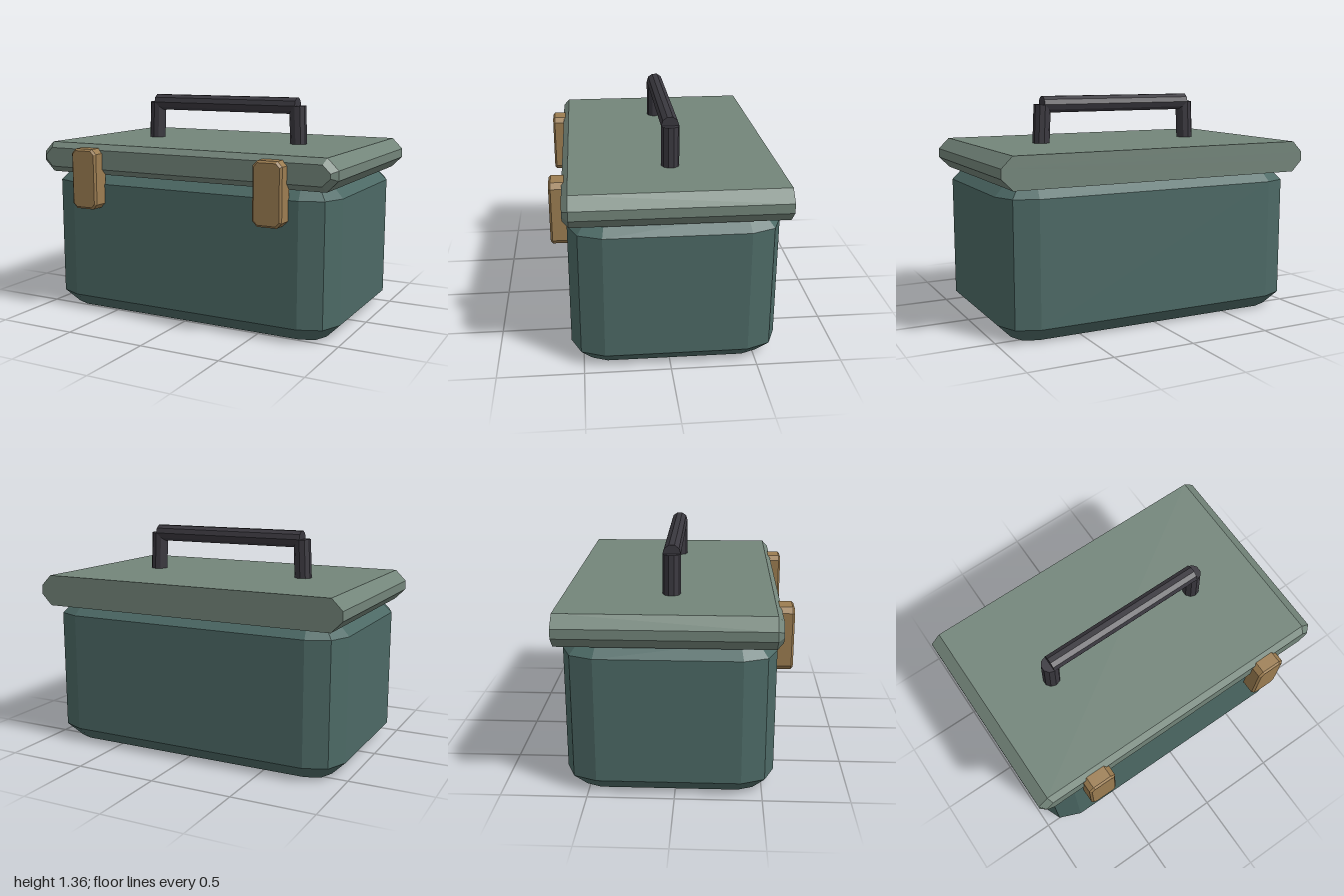
import * as THREE from 'three';

const material = (name, color) => {
  const m = new THREE.MeshStandardMaterial({ color, flatShading: true });
  m.name = name;
  return m;
};

// Counter-clockwise rectangle whose corners are cut into `segs` facets
function corneredRect(halfW, halfH, r, segs) {
  const pts = [];
  [[1, 1], [-1, 1], [-1, -1], [1, -1]].forEach(([sx, sy], q) => {
    for (let i = 0; i <= segs; i++) {
      const a = (q + i / segs) * Math.PI / 2;
      pts.push(new THREE.Vector2(
        sx * (halfW - r) + r * Math.cos(a),
        sy * (halfH - r) + r * Math.sin(a)));
    }
  });
  return pts;
}

// Moves every edge of a convex outline inwards by d
function inset(pts, d) {
  const n = pts.length;
  const normal = (a, b) => new THREE.Vector2(b.y - a.y, a.x - b.x).normalize();
  return pts.map((p, i) => {
    const n1 = normal(pts[(i + n - 1) % n], p);
    const n2 = normal(p, pts[(i + 1) % n]);
    return p.clone().addScaledVector(n1.clone().add(n2), -d / (1 + n1.dot(n2)));
  });
}

// Closed solid along z; stations are [z, inset] pairs with rising z
function loft(outline, stations) {
  const n = outline.length;
  const pos = [];
  const index = [];
  stations.forEach(([z, d]) => inset(outline, d).forEach(p => pos.push(p.x, p.y, z)));
  for (let s = 0; s < stations.length - 1; s++) {
    for (let i = 0; i < n; i++) {
      const a = s * n + i, b = s * n + (i + 1) % n;
      index.push(a, b, b + n, a, b + n, a + n);
    }
  }
  const end = (stations.length - 1) * n;
  for (let i = 1; i < n - 1; i++) {
    index.push(0, i + 1, i, end, end + i, end + i + 1);
  }
  const geo = new THREE.BufferGeometry();
  geo.setAttribute('position', new THREE.Float32BufferAttribute(pos, 3));
  geo.setIndex(index);
  const flat = geo.toNonIndexed();
  flat.computeVertexNormals();
  return flat;
}

export function createModel() {
  const group = new THREE.Group();
  group.name = 'toolbox';

  const bodyTeal = material('bodyTeal', 0x4c6965);
  const lidGreen = material('lidGreen', 0x73857a);
  const latchBrass = material('latchBrass', 0x9c7d51);
  const handleBlack = material('handleBlack', 0x3a383f);

  const add = (name, geo, mat, parent = group) => {
    const mesh = new THREE.Mesh(geo, mat);
    mesh.name = name;
    parent.add(mesh);
    return mesh;
  };

  // Body: rounded corners, chamfered along the bottom and top
  const bodyGeo = loft(corneredRect(0.965, 0.606, 0.192, 2),
    [[0, 0.086], [0.086, 0], [0.827, 0], [0.913, 0.086]]);
  bodyGeo.rotateX(-Math.PI / 2);
  add('body', bodyGeo, bodyTeal).position.z = -0.035;

  // Lid: eight-sided slab, flat at the back and chamfered at the front
  const lidGeo = loft(corneredRect(1, 0.095, 0.067, 1),
    [[-0.667, 0], [0.558, 0], [0.593, 0.035]]);
  add('lid', lidGeo, lidGreen).position.y = 0.981;

  // Pair of latches
  const latchGeo = loft(corneredRect(0.09, 0.187, 0.03, 1),
    [[0.56, 0], [0.655, 0], [0.667, 0.012]]);
  for (const side of [1, -1]) {
    add(side > 0 ? 'leftLatch' : 'rightLatch', latchGeo, latchBrass)
      .position.set(side * 0.621, 0.866, 0);
  }

  // Handle: two slightly leaning posts and a grip
  const handle = new THREE.Group();
  handle.name = 'handle';
  group.add(handle);
  const bar = (name, from, to) => {
    const a = new THREE.Vector3(...from), b = new THREE.Vector3(...to);
    const dir = b.clone().sub(a);
    const geo = new THREE.CylinderGeometry(0.053, 0.053, dir.length(), 10);
    const mesh = add(name, geo, handleBlack, handle);
    mesh.position.copy(a).add(b).multiplyScalar(0.5);
    mesh.quaternion.setFromUnitVectors(new THREE.Vector3(0, 1, 0), dir.normalize());
  };
  const z = -0.037;
  for (const side of [1, -1]) {
    bar(side > 0 ? 'leftPost' : 'rightPost',
      [side * 0.519, 1.05, z], [side * 0.507, 1.311, z]);
  }
  bar('grip', [-0.508, 1.312, z], [0.508, 1.312, z]);

  return group;
}
